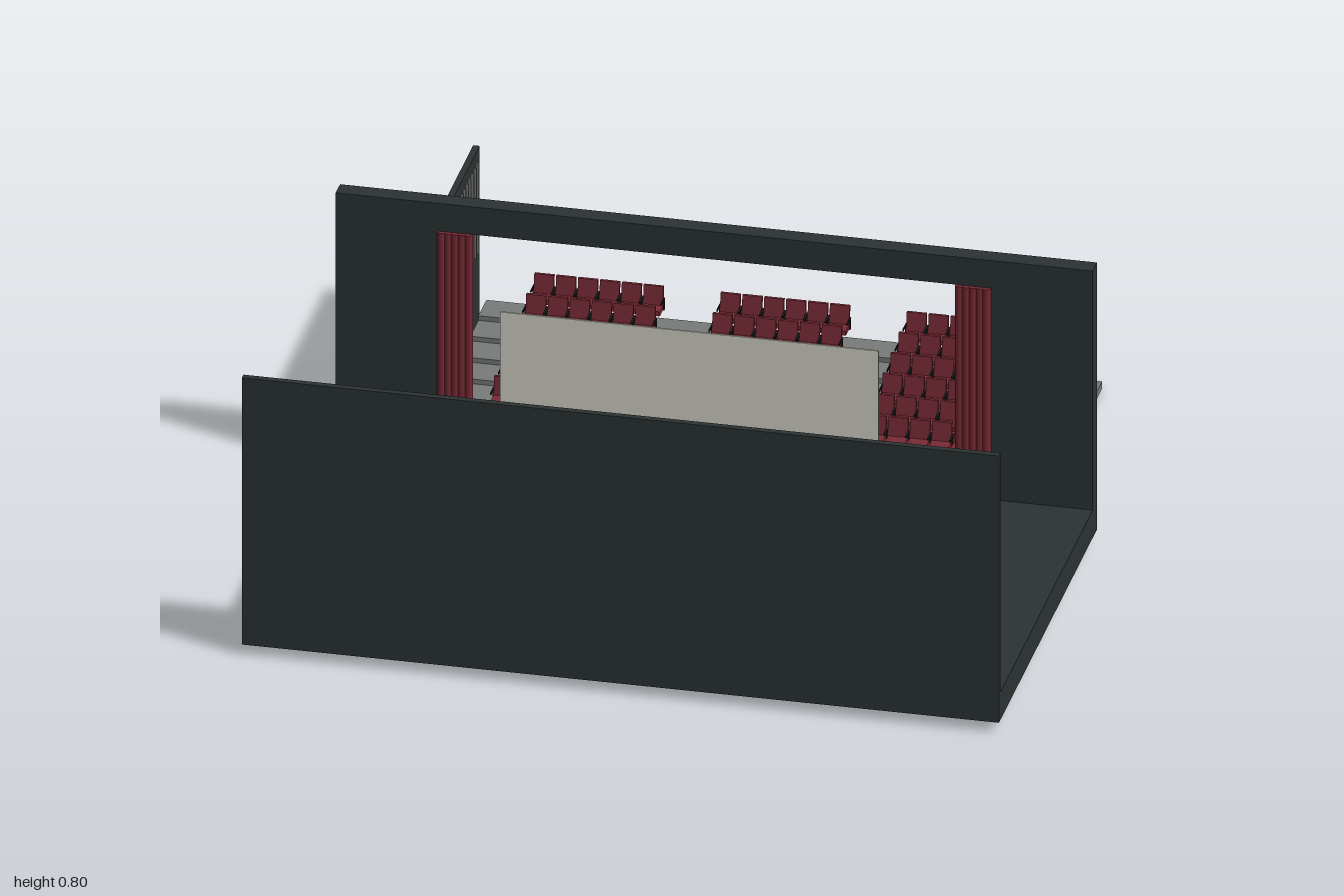
import * as THREE from 'three';

const mat = (color) => new THREE.MeshStandardMaterial({ color });
const DARK = mat(0x2c3333), GREY = mat(0x787c7a), RED = mat(0x7a2a35);
const BLACK = mat(0x1a1c1c), WOOD = mat(0xa88458), PALE = mat(0xd8d6cc);

// Box given by its min and max corners
function box(parent, name, material, [x0, y0, z0], [x1, y1, z1]) {
  const mesh = new THREE.Mesh(new THREE.BoxGeometry(x1 - x0, y1 - y0, z1 - z0), material);
  mesh.position.set((x0 + x1) / 2, (y0 + y1) / 2, (z0 + z1) / 2);
  mesh.name = name;
  parent.add(mesh);
  return mesh;
}

function group(parent, name) {
  const g = new THREE.Group();
  g.name = name;
  parent.add(g);
  return g;
}

// One theatre seat, facing +z, standing on y = 0
function makeSeat() {
  const seat = new THREE.Group();
  seat.name = 'seat';
  box(seat, 'seatLeg', BLACK, [-0.006, 0, -0.008], [0.006, 0.042, 0.004]);
  box(seat, 'seatPan', RED, [-0.026, 0.04, -0.02], [0.026, 0.053, 0.024]);
  const back = box(seat, 'seatBack', RED, [-0.026, 0.046, -0.025], [0.026, 0.104, -0.015]);
  back.rotation.x = -0.12;
  for (const s of [-1, 1]) {
    const x = s * 0.0275;
    box(seat, 'armrest', BLACK, [x - 0.0015, 0.066, -0.022], [x + 0.0015, 0.072, 0.016]);
    box(seat, 'armPost', BLACK, [x - 0.0015, 0.038, -0.022], [x + 0.0015, 0.068, -0.014]);
  }
  return seat;
}

// Stage floor, rear wall and the wall with the proscenium opening
function buildStage(root) {
  const stage = group(root, 'stage');
  box(stage, 'stageFloor', DARK, [-1, 0.03, -0.145], [1, 0.11, 0.985]);
  box(stage, 'stageRearWall', DARK, [-1, 0.03, 0.968], [1, 0.8, 0.986]);

  const outline = new THREE.Shape();
  outline.moveTo(-1, 0.03);
  for (const [x, y] of [[-0.665, 0.03], [-0.665, 0.72], [0.665, 0.72], [0.665, 0.03], [1, 0.03], [1, 0.8], [-1, 0.8]]) outline.lineTo(x, y);
  const wall = new THREE.Mesh(new THREE.ExtrudeGeometry(outline, { depth: 0.05, bevelEnabled: false }), DARK);
  wall.name = 'prosceniumWall';
  wall.position.z = -0.146;
  stage.add(wall);

  // Faceted apron in front of the stage
  const plan = new THREE.Shape();
  plan.moveTo(-0.575, 0.14);
  for (const [x, d] of [[0.575, 0.14], [0.575, 0.225], [0.33, 0.285], [0, 0.325], [-0.33, 0.285], [-0.575, 0.225]]) plan.lineTo(x, d);
  const apronGeo = new THREE.ExtrudeGeometry(plan, { depth: 0.02, bevelEnabled: false });
  apronGeo.rotateX(-Math.PI / 2);
  const apron = new THREE.Mesh(apronGeo, DARK);
  apron.name = 'apron';
  apron.position.y = 0.056;
  stage.add(apron);

  box(stage, 'stageSkirt', RED, [-0.665, 0.03, -0.178], [0.665, 0.11, -0.173]);
  box(stage, 'projectionScreen', PALE, [-0.5, 0.33, 0.188], [0.5, 0.655, 0.193]);

  // Pleated side curtains
  const pleat = new THREE.CylinderGeometry(0.0115, 0.0115, 0.61, 12);
  for (const s of [-1, 1]) {
    const curtain = group(stage, s > 0 ? 'leftCurtain' : 'rightCurtain');
    for (let i = 0; i < 5; i++) {
      const fold = new THREE.Mesh(pleat, RED);
      fold.name = 'curtainFold';
      fold.position.set(s * (0.648 + i * 0.018), 0.415, -0.092);
      fold.scale.z = 0.7;
      curtain.add(fold);
    }
  }
}

// Speaker's desk with a microphone
function buildDesk(root) {
  const desk = group(root, 'speakerDesk');
  desk.position.set(-0.41, 0, 0.022);
  box(desk, 'deskBody', PALE, [-0.05, 0.11, -0.028], [0.05, 0.137, 0.028]);
  box(desk, 'deskTop', WOOD, [-0.058, 0.137, -0.035], [0.058, 0.146, 0.035]);
  box(desk, 'deskFoot', PALE, [-0.045, 0.029, -0.02], [0.045, 0.035, 0.02]);
  box(desk, 'micBase', BLACK, [-0.02, 0.146, 0.004], [0.02, 0.15, 0.018]);
  box(desk, 'micBar', BLACK, [-0.03, 0.165, -0.009], [0.03, 0.171, -0.005]);
  box(desk, 'micStand', BLACK, [-0.003, 0.146, -0.009], [0.003, 0.187, -0.004]);
}

// Auditorium slab, stepped tiers, side wall with ribs, and seating
function buildAuditorium(root) {
  const hall = group(root, 'auditorium');
  box(hall, 'baseSlab', GREY, [-0.82, 0, -0.99], [0.82, 0.02, -0.12]);

  const rows = 6, pitch = 0.0925, rise = 0.0135;
  const steps = new THREE.Shape();
  steps.moveTo(0.385, 0.018);
  for (let i = 0; i < rows; i++) {
    const top = 0.03 + i * rise;
    steps.lineTo(0.385 + i * pitch, top);
    steps.lineTo(0.385 + (i + 1) * pitch, top);
  }
  steps.lineTo(0.385 + rows * pitch, 0.018);
  const stepGeo = new THREE.ExtrudeGeometry(steps, { depth: 1.59, bevelEnabled: false });
  stepGeo.rotateY(Math.PI / 2);
  const tiers = new THREE.Mesh(stepGeo, GREY);
  tiers.name = 'seatingTiers';
  // profile runs towards -z after the turn
  tiers.position.x = -0.795;
  hall.add(tiers);

  box(hall, 'sideWall', DARK, [-0.83, 0.015, -0.94], [-0.813, 0.54, -0.14]);
  const ribs = group(hall, 'wallRibs');
  for (let i = 0; i < 26; i++) {
    const z = -0.15 - i * 0.03;
    box(ribs, 'wallRib', GREY, [-0.814, 0.25, z - 0.003], [-0.805, 0.51, z + 0.003]);
  }

  const seat = makeSeat();
  const seating = group(hall, 'seating');
  for (let r = 0; r < rows; r++) {
    const row = group(seating, 'seatRow');
    row.position.set(0, 0.03 + r * rise, -0.432 - r * pitch);
    for (const block of [-0.492, 0, 0.492]) {
      for (let c = 0; c < 6; c++) {
        const s = seat.clone();
        s.position.x = block + (c - 2.5) * 0.0578;
        row.add(s);
      }
    }
  }
}

export function createModel() {
  const root = new THREE.Group();
  root.name = 'theatre';
  buildStage(root);
  buildDesk(root);
  buildAuditorium(root);
  return root;
}
